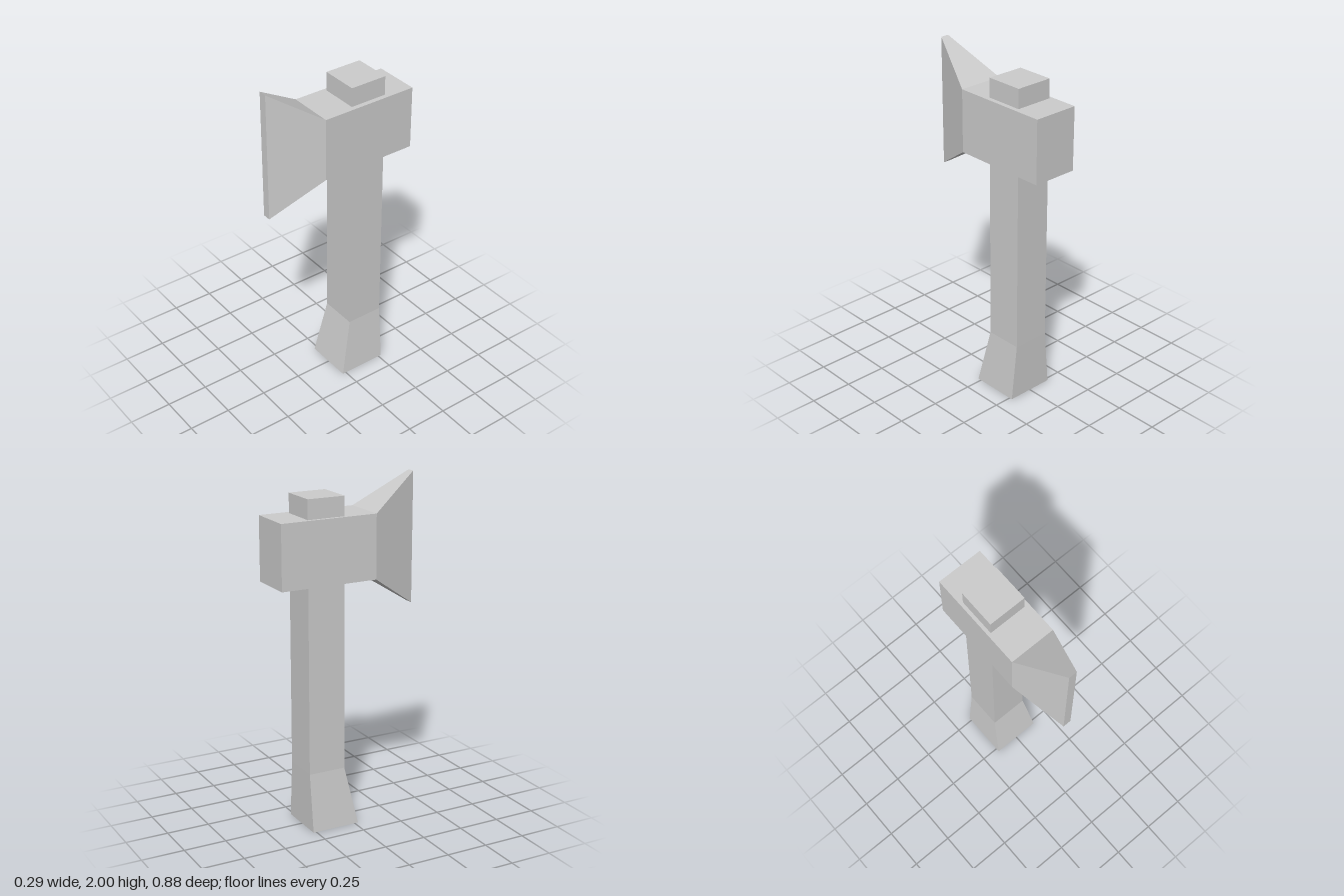
import * as THREE from 'three';

const material = new THREE.MeshStandardMaterial({ color: 0xcccccc, flatShading: true });

// Joins rectangular sections [z, x0, x1, y0, y1], ordered by rising z, into a closed solid.
function loftRects(sections) {
  const rings = sections.map(([z, x0, x1, y0, y1]) => [[x0, y0, z], [x1, y0, z], [x1, y1, z], [x0, y1, z]]);
  const positions = [];
  const quad = (a, b, c, d) => positions.push(...a, ...b, ...c, ...a, ...c, ...d);
  for (let s = 0; s < rings.length - 1; s++) {
    for (let k = 0; k < 4; k++) {
      const n = (k + 1) % 4;
      quad(rings[s][k], rings[s][n], rings[s + 1][n], rings[s + 1][k]);
    }
  }
  const first = rings[0], last = rings[rings.length - 1];
  quad(first[3], first[2], first[1], first[0]);
  quad(...last);
  const geometry = new THREE.BufferGeometry();
  geometry.setAttribute('position', new THREE.Float32BufferAttribute(positions, 3));
  geometry.computeVertexNormals();
  return geometry;
}

function part(name, geometry) {
  const mesh = new THREE.Mesh(geometry, material);
  mesh.name = name;
  return mesh;
}

export function createModel() {
  const group = new THREE.Group();
  group.name = 'axe';

  // Square handle, flared towards the foot; lofted along z and then stood upright
  const handle = loftRects([
    [0, -0.146, 0.145, -0.022, 0.268],
    [0.345, -0.112, 0.112, 0.05, 0.272],
    [1.917, -0.112, 0.112, 0.05, 0.272],
  ]).rotateX(-Math.PI / 2);
  group.add(part('handle', handle));

  // Block head that narrows sideways and spreads upright into the blade
  group.add(part('axeHead', loftRects([
    [-0.44, -0.132, 0.14, 1.435, 1.805],
    [0.14, -0.132, 0.14, 1.435, 1.805],
    [0.438, -0.021, 0.028, 1.24, 2],
  ])));

  return group;
}
